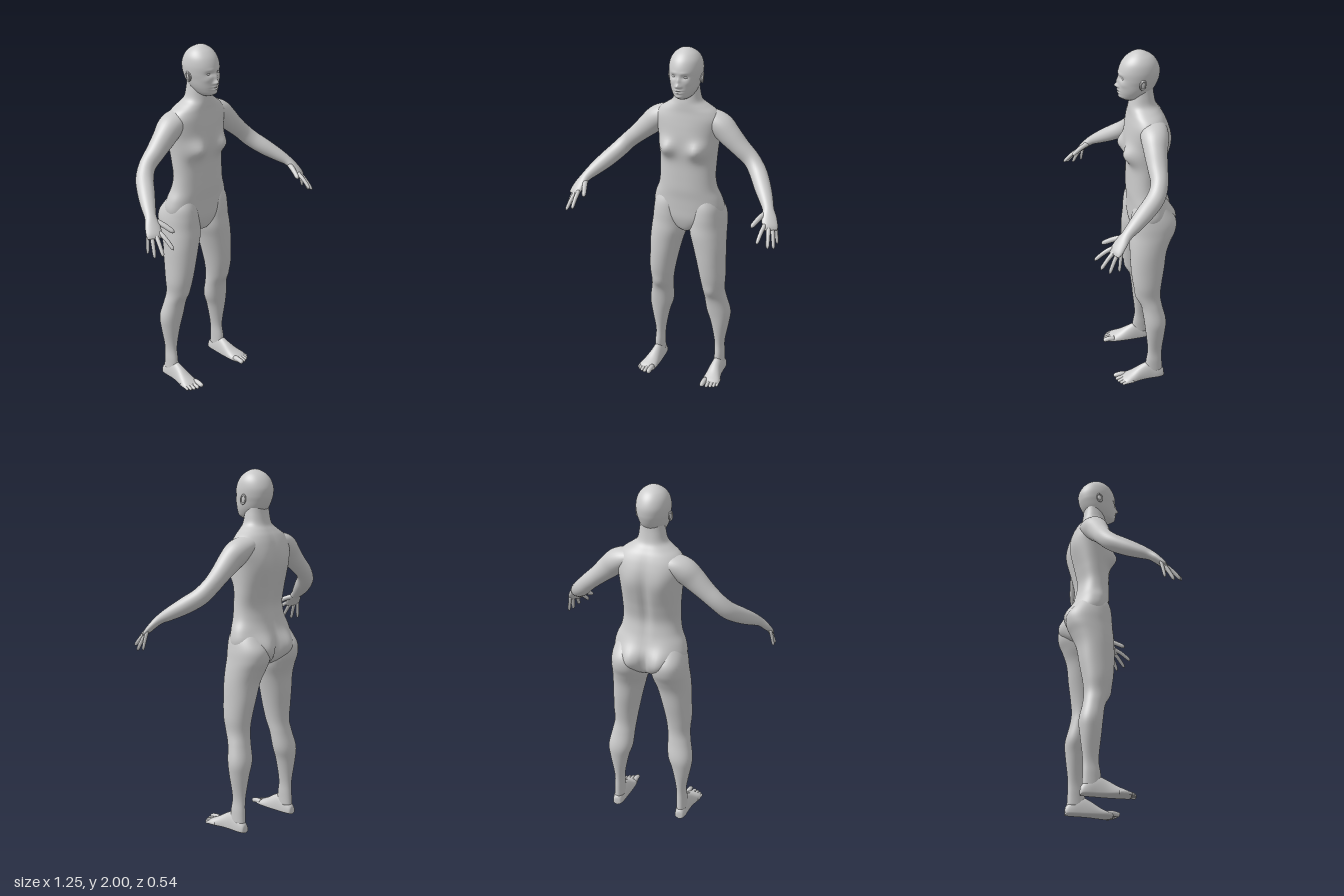
import * as THREE from 'three';

const material = new THREE.MeshStandardMaterial({ color: 0xcccccc, roughness: 0.8 });

// Smoothly resample rows of numbers, `steps` samples per interval.
function resample(rows, steps) {
  const curve = new THREE.CubicInterpolant(rows.map((_, i) => i), rows.flat(), rows[0].length);
  const out = [];
  for (let i = 0; i <= (rows.length - 1) * steps; i++) out.push([...curve.evaluate(i / steps)]);
  return out;
}

// Skin a list of closed rings and cap both ends.
function skin(rings) {
  const n = rings[0].length, m = rings.length, pos = [], index = [];
  rings.forEach(r => r.forEach(p => pos.push(p.x, p.y, p.z)));
  for (const r of [rings[0], rings[m - 1]]) {
    const c = r.reduce((s, p) => s.add(p), new THREE.Vector3()).divideScalar(n);
    pos.push(c.x, c.y, c.z);
  }
  for (let j = 0; j < n; j++) {
    const k = (j + 1) % n;
    for (let i = 0; i < m - 1; i++) {
      const a = i * n + j, b = i * n + k;
      index.push(a, b, b + n, a, b + n, a + n);
    }
    index.push(m * n, k, j, m * n + 1, (m - 1) * n + j, (m - 1) * n + k);
  }
  const g = new THREE.BufferGeometry();
  g.setAttribute('position', new THREE.Float32BufferAttribute(pos, 3));
  g.setIndex(index);
  g.computeVertexNormals();
  return g;
}

const power = (v, p) => Math.sign(v) * Math.abs(v) ** (2 / p);

// Upright form from rows [y, centreX, radiusX, backZ, frontZ], listed from the bottom up.
// Bumps [side, x, y, width, height, depth] push the front (1) or back (-1) along z.
function upright(rows, { n = 40, steps = 5, p = 2, bumps = [] } = {}) {
  return skin(resample(rows, steps).map(([y, cx, rx, zb, zf]) =>
    Array.from({ length: n }, (_, j) => {
      const a = j / n * Math.PI * 2, c = Math.cos(a);
      const x = cx + rx * power(Math.sin(a), p);
      let z = (zb + zf) / 2 + (zf - zb) / 2 * power(c, p);
      for (const [side, bx, by, w, h, d] of bumps) {
        const facing = Math.sqrt(Math.max(0, side * c));
        z += side * d * facing * Math.exp(-(((x - bx) / w) ** 2) - ((y - by) / h) ** 2);
      }
      return new THREE.Vector3(x, y, z);
    })));
}

// Limb along a path from rows [x, y, z, thickness radius, width radius].
function limb(rows, n = 24, steps = 5) {
  const s = resample(rows, steps), at = i => new THREE.Vector3(...s[Math.min(Math.max(i, 0), s.length - 1)]);
  return skin(s.map(([, , , ru, rv], i) => {
    const t = at(i + 1).sub(at(i - 1)).normalize();
    const v = new THREE.Vector3(0, 1, 0).cross(t).normalize();
    const u = v.clone().cross(t);
    return Array.from({ length: n }, (_, j) => {
      const a = j / n * Math.PI * 2;
      return at(i).addScaledVector(u, ru * Math.cos(a)).addScaledVector(v, rv * Math.sin(a));
    });
  }));
}

// Finger or toe: slightly bent, rounded tip.
function digit(base, tip, r, bend) {
  const a = new THREE.Vector3(...base), b = new THREE.Vector3(...tip);
  const rows = [[0, 1], [0.3, 1], [0.55, 0.95], [0.85, 0.85], [0.95, 0.6], [1, 0.12]].map(([t, k]) => {
    const q = a.clone().lerp(b, t);
    return [q.x, q.y + bend * Math.sin(t * Math.PI), q.z, r * k, r * k];
  });
  return limb(rows, 12, 3);
}

function mirrored(geometry) {
  const g = geometry.clone().scale(-1, 1, 1), ix = g.index.array;
  for (let i = 0; i < ix.length; i += 3) [ix[i], ix[i + 1]] = [ix[i + 1], ix[i]];
  g.computeVertexNormals();
  return g;
}

const both = (side, x, ...rest) => [[side, x, ...rest], [side, -x, ...rest]];

export function createModel() {
  const model = new THREE.Group();
  model.name = 'figure';
  const add = (name, g) => {
    const mesh = new THREE.Mesh(g, material);
    mesh.name = name;
    model.add(mesh);
  };
  const addPair = (name, g) => {
    add('left' + name, g);
    add('right' + name, mirrored(g));
  };

  // Torso and neck, with bust, buttocks, shoulder blades and spine furrow
  add('torso', upright([
    [0.925, 0, 0.015, -0.13, -0.06], [0.94, 0, 0.045, -0.165, -0.035], [0.97, 0, 0.11, -0.2, -0.02],
    [1.02, 0, 0.185, -0.215, -0.009], [1.08, 0, 0.208, -0.22, -0.007], [1.14, 0, 0.198, -0.208, -0.005],
    [1.2, 0, 0.173, -0.195, 0], [1.27, 0, 0.163, -0.185, 0], [1.35, 0, 0.164, -0.2, 0],
    [1.42, 0, 0.168, -0.216, 0.006], [1.5, 0, 0.176, -0.228, 0.01], [1.56, 0, 0.187, -0.226, 0.005],
    [1.61, 0, 0.188, -0.213, -0.002], [1.65, 0, 0.16, -0.195, -0.008], [1.68, 0, 0.118, -0.175, -0.01],
    [1.71, 0, 0.082, -0.156, -0.013], [1.76, 0, 0.07, -0.145, -0.022], [1.81, 0, 0.064, -0.14, -0.03],
  ], {
    n: 72, p: 2.2, bumps: [
      ...both(1, 0.098, 1.44, 0.055, 0.048, 0.045), ...both(-1, 0.09, 1.03, 0.07, 0.085, 0.058),
      ...both(-1, 0.09, 1.5, 0.055, 0.08, 0.012), [-1, 0, 1.38, 0.025, 0.2, -0.014],
      [-1, 0, 1.02, 0.014, 0.07, -0.02],
    ],
  }));

  // Head with modelled face
  add('head', upright([
    [1.735, 0, 0.03, -0.06, 0.018], [1.75, 0, 0.05, -0.1, 0.038], [1.775, 0, 0.066, -0.13, 0.044],
    [1.8, 0, 0.076, -0.15, 0.046], [1.83, 0, 0.083, -0.165, 0.046], [1.86, 0, 0.089, -0.174, 0.045],
    [1.9, 0, 0.091, -0.176, 0.042], [1.94, 0, 0.083, -0.161, 0.026], [1.97, 0, 0.064, -0.136, 0],
    [1.99, 0, 0.038, -0.103, -0.03], [1.998, 0, 0.017, -0.082, -0.05], [2, 0, 0.003, -0.069, -0.063],
  ], {
    n: 96, steps: 9, bumps: [
      [1, 0, 1.816, 0.012, 0.012, 0.019], [1, 0, 1.842, 0.01, 0.02, 0.009],
      ...both(1, 0.013, 1.811, 0.007, 0.007, 0.007), ...both(1, 0.032, 1.862, 0.018, 0.012, -0.01),
      ...both(1, 0.028, 1.884, 0.022, 0.008, 0.003), ...both(1, 0.05, 1.83, 0.018, 0.015, 0.004),
      [1, 0, 1.791, 0.02, 0.006, 0.007], [1, 0, 1.776, 0.018, 0.006, 0.007],
      [1, 0, 1.7835, 0.022, 0.0025, -0.004], [1, 0, 1.754, 0.022, 0.01, 0.005],
    ],
  }));
  addPair('Eye', new THREE.SphereGeometry(0.012, 20, 14).scale(1.2, 0.7, 1).translate(0.032, 1.861, 0.0195));

  // Ears: shallow bowl and rim
  addPair('Ear', new THREE.SphereGeometry(1, 16, 12).scale(0.008, 0.026, 0.016)
    .rotateX(-0.2).translate(0.089, 1.842, -0.066));
  addPair('EarRim', new THREE.TorusGeometry(0.019, 0.0045, 8, 24).scale(0.75, 1.25, 1)
    .rotateY(Math.PI / 2 + 0.3).rotateX(-0.2).translate(0.094, 1.842, -0.069));

  // Arms, from inside the shoulder on into the palm
  addPair('Arm', limb([
    [0.05, 1.622, -0.12, 0.025, 0.045], [0.12, 1.604, -0.12, 0.053, 0.072], [0.185, 1.572, -0.115, 0.068, 0.073],
    [0.24, 1.524, -0.108, 0.064, 0.062], [0.305, 1.465, -0.105, 0.053, 0.053], [0.37, 1.408, -0.1, 0.048, 0.046],
    [0.42, 1.355, -0.07, 0.048, 0.048], [0.47, 1.305, -0.006, 0.045, 0.046], [0.515, 1.262, 0.058, 0.036, 0.038],
    [0.545, 1.23, 0.105, 0.026, 0.031], [0.563, 1.198, 0.138, 0.021, 0.04], [0.58, 1.163, 0.168, 0.016, 0.042],
    [0.588, 1.147, 0.182, 0.007, 0.036],
  ], 32));

  // Fingers and thumb
  const fingers = [
    ['IndexFinger', [0.553, 1.17, 0.18], [0.546, 1.1, 0.275], 0.0115],
    ['MiddleFinger', [0.573, 1.165, 0.17], [0.598, 1.073, 0.252], 0.0115],
    ['RingFinger', [0.589, 1.163, 0.158], [0.618, 1.056, 0.21], 0.011],
    ['LittleFinger', [0.602, 1.165, 0.145], [0.621, 1.065, 0.16], 0.0095],
    ['Thumb', [0.538, 1.215, 0.122], [0.495, 1.165, 0.228], 0.0145],
  ];
  for (const [name, base, tip, r] of fingers) addPair(name, digit(base, tip, r, 0.006));

  // Legs: rows [y, inner x, outer x, back z, front z]
  addPair('Leg', upright([
    [0.05, 0.167, 0.226, -0.178, -0.075], [0.12, 0.167, 0.224, -0.175, -0.08], [0.2, 0.164, 0.222, -0.175, -0.09],
    [0.33, 0.138, 0.246, -0.19, -0.077], [0.41, 0.112, 0.255, -0.195, -0.068], [0.5, 0.104, 0.238, -0.175, -0.054],
    [0.57, 0.098, 0.227, -0.165, -0.028], [0.65, 0.085, 0.232, -0.172, -0.008], [0.75, 0.064, 0.23, -0.188, 0.002],
    [0.85, 0.038, 0.228, -0.202, 0.005], [0.92, 0.016, 0.224, -0.228, 0.005], [0.98, 0.012, 0.219, -0.255, 0],
    [1.04, 0.018, 0.213, -0.256, -0.003], [1.1, 0.035, 0.198, -0.215, -0.012], [1.16, 0.06, 0.165, -0.17, -0.035],
  ].map(([y, x0, x1, zb, zf]) => [y, (x0 + x1) / 2, (x1 - x0) / 2, zb, zf]), {
    n: 40, p: 2.1, bumps: [[1, 0.165, 0.57, 0.035, 0.035, 0.008]],
  }));

  // Feet: rows [z, centre x, half width, height], with a flattened sole
  const footRows = [
    [-0.187, 0.197, 0.012, 0.038], [-0.181, 0.197, 0.025, 0.055], [-0.15, 0.197, 0.033, 0.085],
    [-0.1, 0.196, 0.036, 0.108], [-0.05, 0.197, 0.041, 0.09], [0, 0.203, 0.049, 0.06],
    [0.03, 0.207, 0.053, 0.045], [0.05, 0.207, 0.05, 0.036], [0.068, 0.2, 0.04, 0.026], [0.075, 0.197, 0.03, 0.018],
  ];
  addPair('Foot', skin(resample(footRows, 4).map(([z, cx, rx, h]) =>
    Array.from({ length: 32 }, (_, j) => {
      const a = j / 32 * Math.PI * 2, s = Math.sin(a);
      const y = s > 0 ? 0.016 + (h - 0.016) * s : 0.016 + 0.014 * power(s, 3);
      return new THREE.Vector3(cx + rx * Math.cos(a), y, z);
    }))));

  // Toes: [base x, tip x, tip z, radius]
  [[0.174, 0.174, 0.112, 0.0155], [0.199, 0.202, 0.106, 0.0115], [0.219, 0.223, 0.098, 0.011],
    [0.235, 0.241, 0.087, 0.0105], [0.248, 0.255, 0.073, 0.0095]].forEach(([x0, x1, z, r], i) =>
    addPair('Toe' + (i + 1), digit([x0, r + 0.007, z - 0.068], [x1, r, z], r, 0.004)));

  return model;
}
